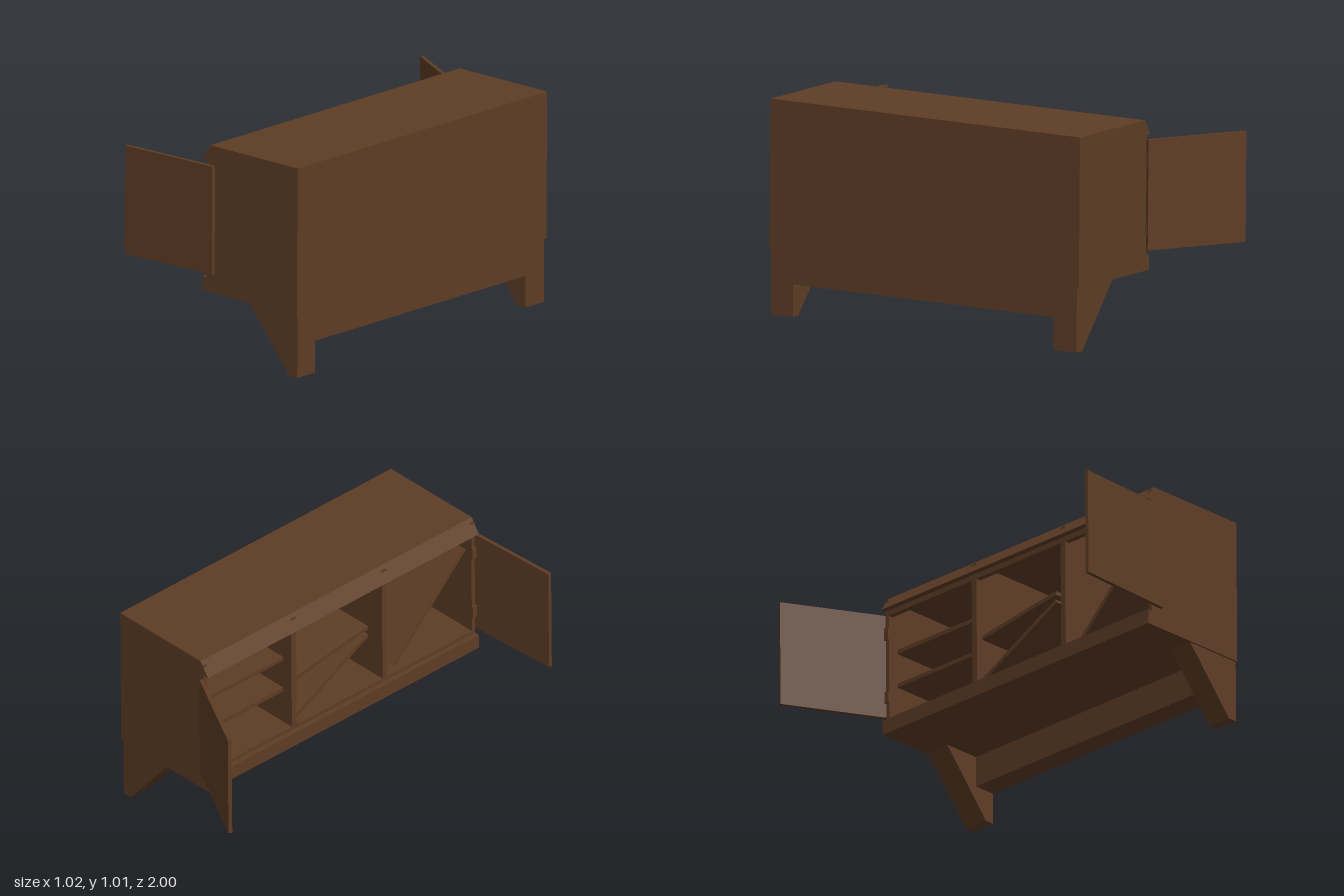
import * as THREE from 'three';

export function createModel() {
  const model = new THREE.Group();
  model.name = 'oldSideboard';
  // the whole cabinet sags slightly out of true
  model.rotation.set(-0.0089, 0.0089, 0);

  const wood = new THREE.MeshStandardMaterial({ color: 0x5e3d25 });
  wood.name = 'brownWood';

  const Z0 = -0.742, Z1 = 0.948;      // cabinet ends
  const BACK = 0.502, FACE = -0.055;  // rear wall and open face

  const add = (name, geometry, parent = model) => {
    const mesh = new THREE.Mesh(geometry, wood);
    mesh.name = name;
    parent.add(mesh);
    return mesh;
  };
  // box given by its limits on each axis
  const box = (name, x0, x1, y0, y1, z0, z1) => {
    const mesh = add(name, new THREE.BoxGeometry(x1 - x0, y1 - y0, z1 - z0));
    mesh.position.set((x0 + x1) / 2, (y0 + y1) / 2, (z0 + z1) / 2);
    return mesh;
  };
  // x-y profile swept along z
  const prism = (name, points, z0, z1) => {
    const shape = new THREE.Shape(points.map(([x, y]) => new THREE.Vector2(x, y)));
    const mesh = add(name, new THREE.ExtrudeGeometry(shape, { depth: z1 - z0, bevelEnabled: false }));
    mesh.position.z = z0;
    return mesh;
  };

  // top with sloping cornice over the open face
  prism('top', [[BACK, 1.0065], [-0.037, 1.0065], [-0.085, 0.936], [FACE, 0.936],
    [FACE, 0.91], [-0.03, 0.91], [-0.03, 0.985], [BACK, 0.985]], Z0, Z1);
  // floor with projecting lip
  prism('floor', [[-0.08, 0.3065], [BACK, 0.3065], [BACK, 0.395], [FACE, 0.395],
    [FACE, 0.376], [-0.08, 0.376]], Z0, Z1);

  // walls and dividers
  box('rearWall', BACK - 0.018, BACK, 0.39, 0.99, Z0, Z1);
  box('endWall', FACE, BACK, 0.39, 0.99, Z0, Z0 + 0.02);
  box('endWall', FACE, BACK, 0.39, 0.99, Z1 - 0.02, Z1);
  for (const z of [-0.18, 0.385]) box('divider', FACE, BACK - 0.01, 0.39, 0.99, z - 0.015, z + 0.015);

  // tapered feet and the rail between them
  for (const [z0, z1] of [[-0.73, -0.605], [0.82, 0.94]]) {
    prism('foot', [[0.2, 0.308], [0.452, 0.0066], [0.5, 0.0066], [0.5, 0.308]], z0, z1);
  }
  box('rail', 0.39, 0.5, 0.158, 0.308, -0.61, 0.825);

  // level shelves
  for (const y of [0.575, 0.745]) box('shelf', 0.0, 0.485, y - 0.01, y + 0.01, Z0 + 0.02, -0.195);

  // fallen boards leaning in the other bays, from (z, y) to (z, y)
  const board = (za, ya, zb, yb) => {
    const mesh = add('fallenShelf', new THREE.BoxGeometry(0.5, 0.02, Math.hypot(zb - za, yb - ya)));
    mesh.position.set(0.225, (ya + yb) / 2, (za + zb) / 2);
    mesh.rotation.x = -Math.atan2(yb - ya, zb - za);
  };
  board(-0.16, 0.62, 0.31, 0.69);
  board(-0.15, 0.41, 0.31, 0.65);
  board(0.47, 0.405, 0.915, 0.84);

  // open doors, from hinge (x, z) to free edge (x, z)
  const door = (xa, za, xb, zb) => {
    const mesh = add('door', new THREE.BoxGeometry(Math.hypot(xb - xa, zb - za), 0.514, 0.018));
    mesh.position.set((xa + xb) / 2, 0.659, (za + zb) / 2);
    mesh.rotation.y = -Math.atan2(zb - za, xb - xa);
  };
  door(-0.0035, 0.96, -0.519, 0.985);
  door(-0.048, -0.75, -0.496, -0.99);

  // hinges
  for (const y of [0.5, 0.82]) {
    box('hinge', -0.062, -0.045, y - 0.03, y + 0.03, Z0 - 0.008, Z0 + 0.02);
    box('hinge', -0.062, -0.045, y - 0.03, y + 0.03, Z1 - 0.02, Z1 + 0.01);
  }

  const root = new THREE.Group();
  root.name = 'sideboard';
  root.add(model);
  return root;
}
